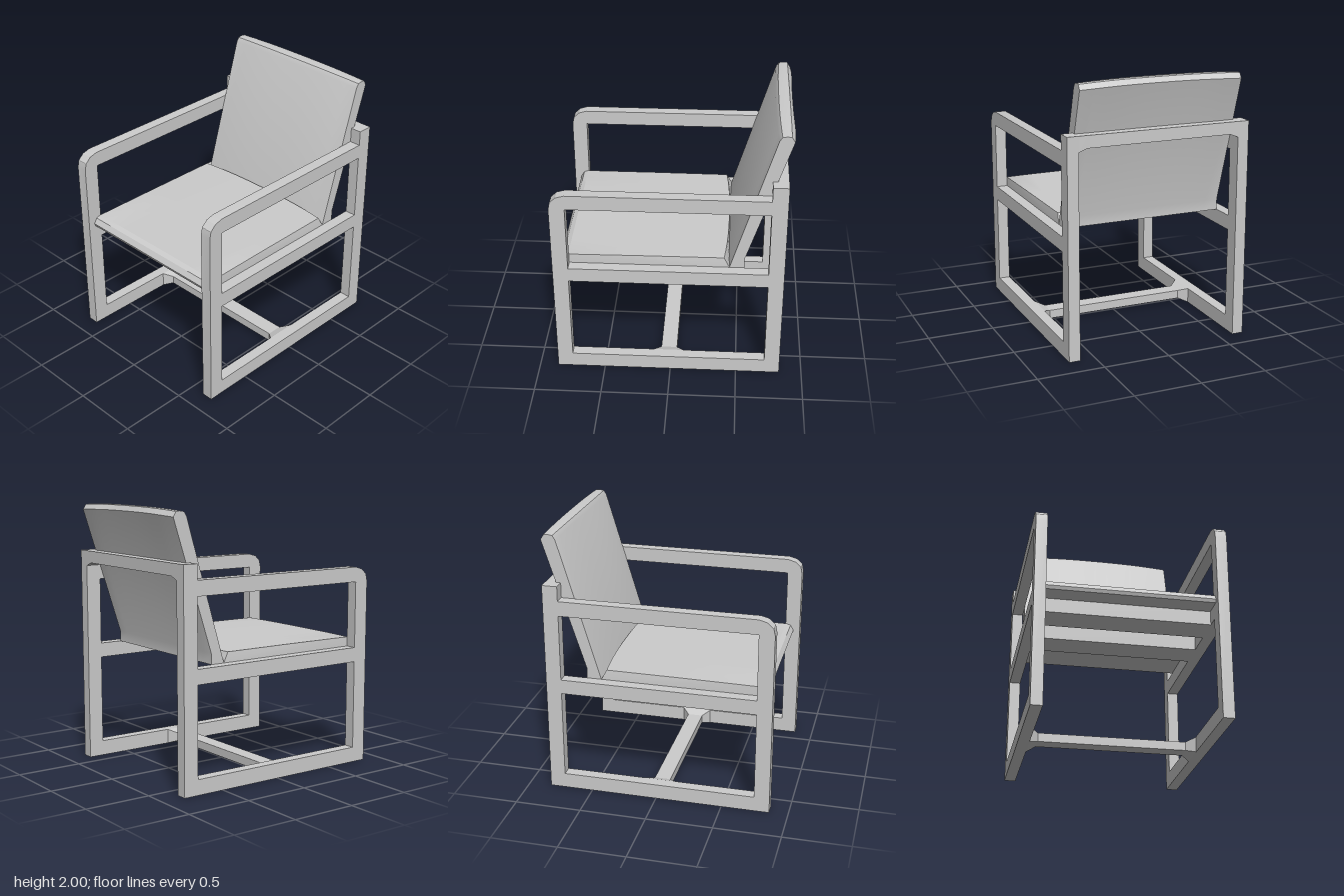
import * as THREE from 'three';
import { toCreasedNormals } from 'three/addons/utils/BufferGeometryUtils.js';

const material = new THREE.MeshStandardMaterial({ color: 0xcccccc });
const INNER = 0.615, OUTER = 0.7;

function part(name, geometry, creaseAngle = 0.4) {
  const mesh = new THREE.Mesh(toCreasedNormals(geometry, creaseAngle), material);
  mesh.name = name;
  return mesh;
}

const polygon = (points) => points.map(([a, b]) => new THREE.Vector2(a, b));

// Extrudes a (z, y) outline along x, from xMin to xMax
function extrudeAcross(shape, xMin, xMax, steps = 1) {
  const geometry = new THREE.ExtrudeGeometry(shape, { depth: xMax - xMin, steps, bevelEnabled: false });
  return geometry.rotateY(-Math.PI / 2).translate(xMax, 0, 0);
}

// Moves every vertex by a rule that edits it in place
function reshape(geometry, rule) {
  const position = geometry.attributes.position, v = new THREE.Vector3();
  for (let i = 0; i < position.count; i++) {
    rule(v.fromBufferAttribute(position, i));
    position.setXYZ(i, v.x, v.y, v.z);
  }
  geometry.computeVertexNormals();
  return geometry;
}

// Side frame: legs, floor rail, seat rail and armrest in one outline with two openings
function sideFrame(name, side) {
  const shape = new THREE.Shape(polygon([
    [-0.83, 0], [0.86, 0], [0.86, 1.405], [0.848, 1.46], [0.805, 1.5], [0.745, 1.517],
    [-0.715, 1.517], [-0.715, 1.63], [-0.83, 1.63],
  ]));
  for (const [low, high] of [[0.115, 0.79], [0.9, 1.405]]) {
    shape.holes.push(new THREE.Path(polygon([
      [-0.715, low], [-0.715, high], [0.745, high], [0.745, low],
    ])));
  }
  return side > 0
    ? part(name, extrudeAcross(shape, INNER, OUTER))
    : part(name, extrudeAcross(shape, -OUTER, -INNER));
}

// Cross rail, slim in the middle and flared where it meets the frames
function flaredRail(name, middle, end) {
  const geometry = new THREE.BoxGeometry(2, 1, 1, 3, 1, 1).toNonIndexed();
  reshape(geometry, (v) => {
    const atEnd = Math.abs(v.x) > 0.9;
    const [y0, y1, z0, z1] = atEnd ? end : middle;
    v.set(Math.sign(v.x) * (atEnd ? INNER : 0.55), v.y > 0 ? y1 : y0, v.z > 0 ? z1 : z0);
  });
  return part(name, geometry, 0.1);
}

// Crown: 1 at the middle of the chair, 0 at its sides
const crown = (x) => 1 - Math.pow(Math.abs(x) / INNER, 2.5);

function seatCushion() {
  const shape = new THREE.Shape(polygon([
    [-0.43, 0.9], [0.8, 0.895], [0.81, 0.92], [0.785, 0.96], [0.75, 0.972],
    [0.2, 0.975], [-0.39, 0.975],
  ]));
  const geometry = reshape(extrudeAcross(shape, -INNER, INNER, 12), (v) => {
    const c = crown(v.x);
    if (v.y > 0.965) {
      if (v.z < -0.3) v.z -= 0.03 * c;
      v.x *= 1 - 0.012 * (0.75 - v.z);
      v.y += 0.005 * c;
    }
  });
  return part('seatCushion', geometry);
}

function backCushion() {
  const shape = new THREE.Shape(polygon([
    [-0.54, 0.9], [-0.43, 0.9], [-0.745, 1.95], [-0.765, 1.98], [-0.8, 1.986],
    [-0.83, 1.982], [-0.853, 1.945], [-0.54, 0.98],
  ]));
  const geometry = reshape(extrudeAcross(shape, -INNER, INNER, 12), (v) => {
    const c = crown(v.x);
    const front = v.z > -0.78 && (v.y > 1.5 || v.z > -0.5);
    if (front) v.z += 0.015 * c;
    if (v.y > 1.9) v.y += 0.014 * c;
    // the rear edge swells a little between the middle and the sides
    if (v.z < -0.84) v.z -= 0.007 * Math.sin(Math.PI * c);
  });
  return part('backCushion', geometry);
}

export function createModel() {
  const chair = new THREE.Group();
  chair.name = 'armchair';

  chair.add(sideFrame('leftFrame', 1), sideFrame('rightFrame', -1));

  // Rails are given as [yMin, yMax, zMin, zMax]
  chair.add(flaredRail('floorStretcher', [0.025, 0.09, -0.045, 0.075], [0, 0.115, -0.1, 0.13]));
  chair.add(flaredRail('backRail', [1.54, 1.63, -0.83, -0.735], [1.515, 1.63, -0.83, -0.715]));

  // Slats carrying the seat
  for (const z of [0.085, 0.535]) {
    const slat = new THREE.BoxGeometry(2 * INNER, 0.108, 0.23).translate(0, 0.844, z);
    chair.add(part('seatSlat', slat));
  }

  chair.add(seatCushion(), backCushion());
  return chair;
}
